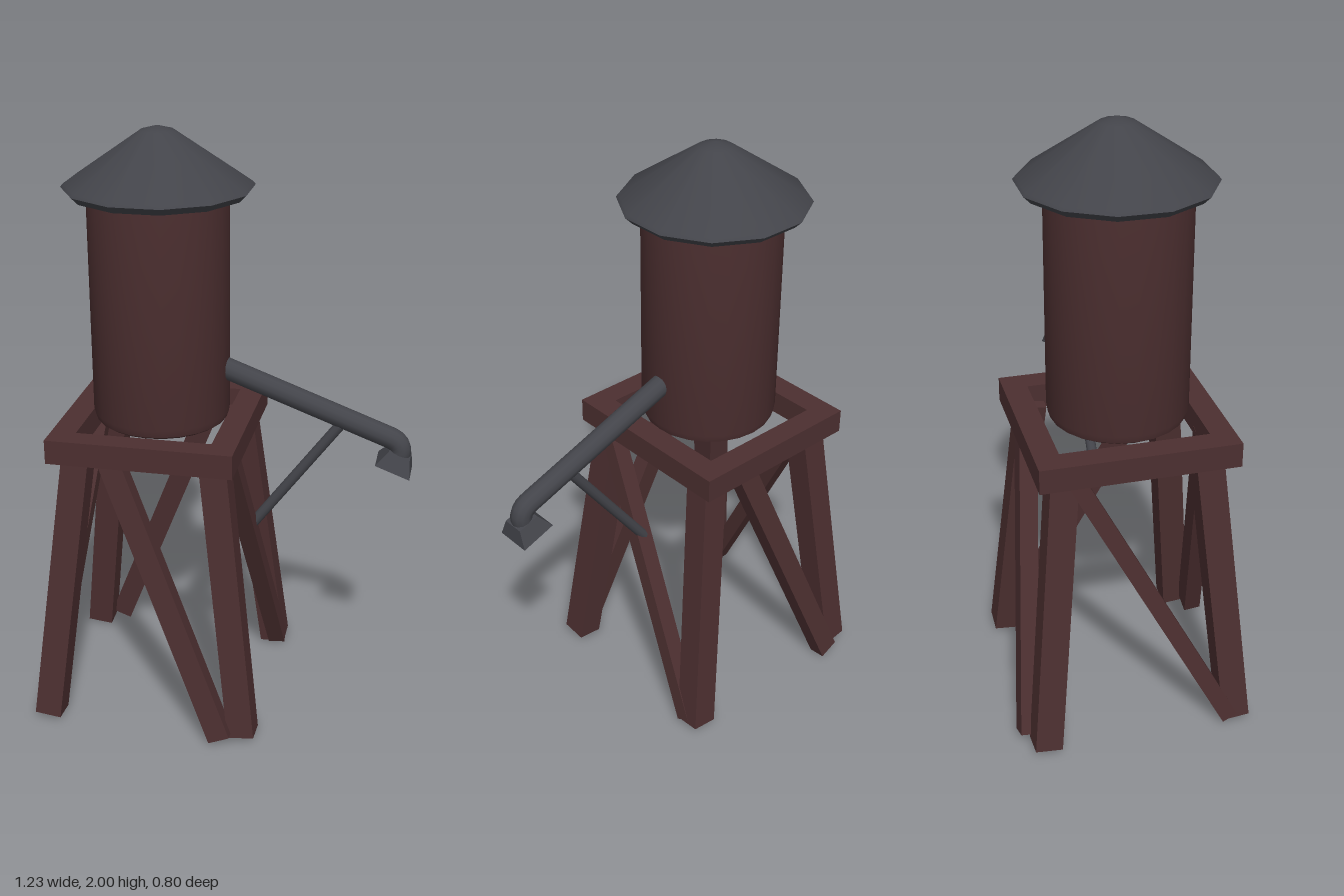
import * as THREE from 'three';
import { toCreasedNormals } from 'three/addons/utils/BufferGeometryUtils.js';

const CX = -0.23; // tower axis

export function createModel() {
  const wood = new THREE.MeshStandardMaterial({ color: 0x4c2f30 });
  wood.name = 'dark red wood';
  const metal = new THREE.MeshStandardMaterial({ color: 0x43444a });
  metal.name = 'dark grey metal';

  const model = new THREE.Group();
  model.name = 'waterTower';
  const V = (x, y, z) => new THREE.Vector3(x, y, z);

  function add(name, geometry, material, x = 0, y = 0, z = 0) {
    const mesh = new THREE.Mesh(geometry, material);
    mesh.name = name;
    mesh.position.set(x, y, z);
    model.add(mesh);
    return mesh;
  }

  // Rectangular timber between two points; its width follows the given side axis
  function timber(name, a, b, width, depth, side) {
    const dir = b.clone().sub(a);
    const length = dir.length();
    dir.normalize();
    const u = side.clone().addScaledVector(dir, -side.dot(dir)).normalize();
    const w = u.clone().cross(dir);
    const mesh = add(name, new THREE.BoxGeometry(width, length, depth), wood);
    mesh.quaternion.setFromRotationMatrix(new THREE.Matrix4().makeBasis(u, dir, w));
    mesh.position.copy(a).add(b).multiplyScalar(0.5);
  }

  // Splayed legs
  for (const sx of [-1, 1]) {
    for (const sz of [-1, 1]) {
      timber((sz > 0 ? 'front' : 'back') + (sx > 0 ? 'Left' : 'Right') + 'Leg',
        V(CX + sx * 0.34, 0.013, sz * 0.322), V(CX + sx * 0.226, 0.985, sz * 0.23),
        0.09, 0.09, V(1, 0, 0));
    }
  }

  // One diagonal brace per side, turning around the tower
  for (const s of [1, -1]) {
    timber(s > 0 ? 'frontBrace' : 'backBrace',
      V(CX + s * 0.272, 0.017, s * 0.37), V(CX - s * 0.112, 0.975, s * 0.27),
      0.075, 0.06, V(1, 0, 0));
    timber(s > 0 ? 'leftBrace' : 'rightBrace',
      V(CX + s * 0.355, 0.017, -s * 0.3), V(CX + s * 0.27, 0.975, s * 0.205),
      0.055, 0.06, V(0, 0, 1));
  }

  // Open square platform frame
  const rect = (path, w, d) => {
    path.moveTo(-w, -d);
    path.lineTo(w, -d);
    path.lineTo(w, d);
    path.lineTo(-w, d);
    path.closePath();
    return path;
  };
  const frame = rect(new THREE.Shape(), 0.308, 0.32);
  frame.holes.push(rect(new THREE.Path(), 0.225, 0.24));
  const frameGeometry = new THREE.ExtrudeGeometry(frame, { depth: 0.082, bevelEnabled: false });
  frameGeometry.rotateX(-Math.PI / 2);
  add('platformFrame', frameGeometry, wood, -0.236, 0.96, 0);

  // Tank with a softened bottom edge
  const lathe = (points, segments, start = 0) => toCreasedNormals(new THREE.LatheGeometry(
    points.map(([r, y]) => new THREE.Vector2(r, y)), segments, start), 0.6);
  add('tank', lathe([[0, 1.03], [0.205, 1.03], [0.22, 1.04], [0.228, 1.065], [0.228, 1.8]], 24),
    wood, CX, 0, 0.007);

  // Twelve-sided conical roof with a bevelled eave
  add('roof', lathe([[0, 1.787], [0.285, 1.787], [0.308, 1.81], [0.3, 1.82], [0.055, 1.985], [0, 2]],
    12, Math.PI / 12), metal, CX, 0, 0);

  // Spout pipe with a downturned elbow
  const spout = new THREE.CurvePath();
  const start = V(-0.03, 1.222, 0.007);
  const bend = V(0.535, 1.013, 0.007);
  const corner = V(0.585, 0.995, 0.007);
  const end = V(0.568, 0.95, 0.007);
  spout.add(new THREE.LineCurve3(start, bend));
  spout.add(new THREE.QuadraticBezierCurve3(bend, corner, end));
  add('spoutPipe', new THREE.TubeGeometry(spout, 48, 0.036, 12), metal);

  // Square flared nozzle, square to the pipe
  const nozzleGeometry = new THREE.CylinderGeometry(0.052, 0.086, 0.055, 4, 1).toNonIndexed();
  nozzleGeometry.rotateY(Math.PI / 4);
  nozzleGeometry.computeVertexNormals();
  const nozzle = add('nozzle', nozzleGeometry, metal, 0.563, 0.938, 0.007);
  nozzle.rotation.z = -0.355;

  // Thin strut from the leg up to the pipe
  const low = V(0.055, 0.615, 0.01);
  const high = V(0.38, 1.055, 0.01);
  const strut = add('spoutStrut', new THREE.CylinderGeometry(0.018, 0.018, low.distanceTo(high), 10), metal);
  strut.position.copy(low).add(high).multiplyScalar(0.5);
  strut.quaternion.setFromUnitVectors(V(0, 1, 0), high.clone().sub(low).normalize());

  return model;
}
